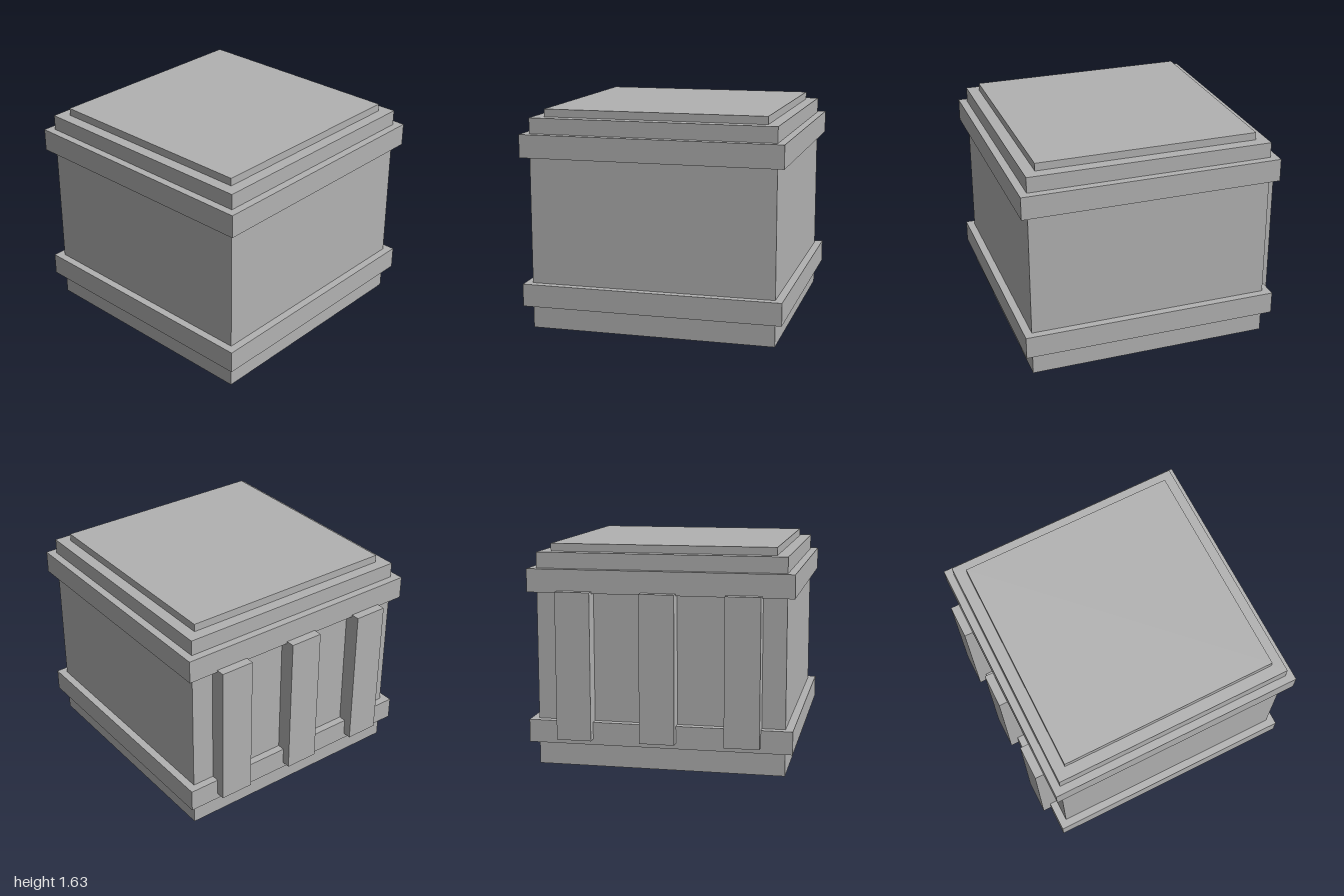
import * as THREE from 'three';

export function createModel() {
  const model = new THREE.Group();
  model.name = 'crate';
  const grey = new THREE.MeshStandardMaterial({ color: 0xb2b2b2 });
  grey.name = 'grey';

  // Box given by its width, bottom, top, back and front
  function block(name, width, y0, y1, z0, z1, x = 0) {
    const mesh = new THREE.Mesh(new THREE.BoxGeometry(width, y1 - y0, z1 - z0), grey);
    mesh.name = name;
    mesh.position.set(x, (y0 + y1) / 2, (z0 + z1) / 2);
    model.add(mesh);
  }

  // Main body and raised lid panel
  block('body', 1.82, 0, 1.57, -0.878, 0.942);
  block('lidPanel', 1.65, 1.57, 1.627, -0.793, 0.857);

  // Bands wrapped around the body
  block('lowerBand', 1.935, 0.175, 0.343, -0.935, 1);
  block('upperBand', 1.935, 1.285, 1.455, -0.935, 1);

  // Three upright ribs on the back
  for (const x of [-0.613, 0, 0.613]) {
    block('backRib', 0.255, 0.218, 1.3, -1, -0.878, x);
  }
  return model;
}
